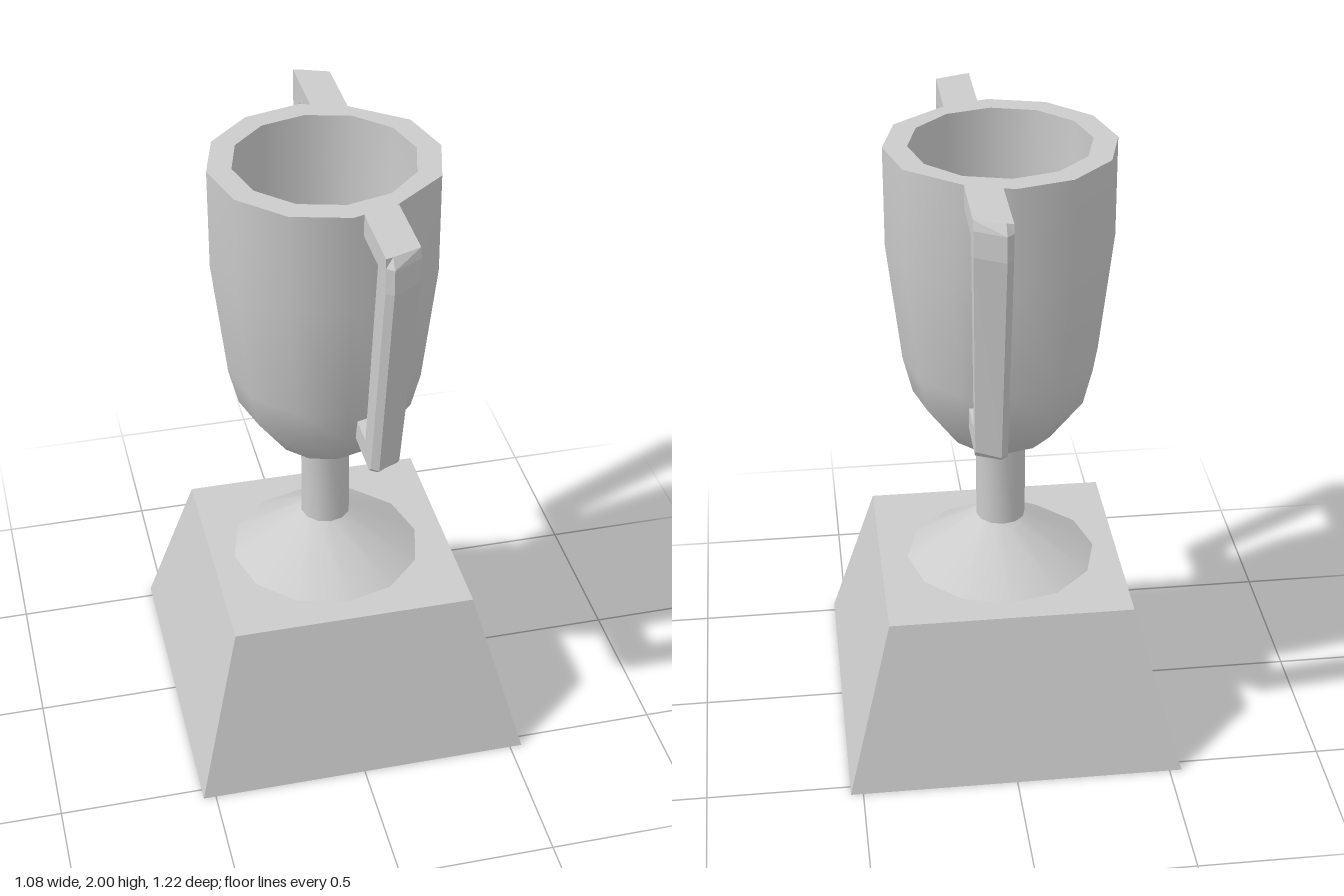
import * as THREE from 'three';
import { toCreasedNormals } from 'three/addons/utils/BufferGeometryUtils.js';

const smooth = new THREE.MeshStandardMaterial({ color: 0xcccccc });
const flat = new THREE.MeshStandardMaterial({ color: 0xcccccc, flatShading: true });

function addMesh(group, name, geometry, material) {
  const mesh = new THREE.Mesh(geometry, material);
  mesh.name = name;
  group.add(mesh);
  return mesh;
}

// Twelve-sided turned part with smooth sides and sharp rims
function turned(points) {
  return new THREE.LatheGeometry(points.map(([r, y]) => new THREE.Vector2(r, y)), 12);
}

// Handle swept from five-cornered sections: inner pair, outer right, ridge, outer left
// Each station: [inner z, inner y, outer y, right z, ridge z, left z, right x]
const stations = [
  [0.31, 1.93, 2.0, 0.31, 0.31, 0.31, 0.135],
  [0.505, 1.93, 2.0, 0.55, 0.585, 0.59, 0.135],
  [0.505, 1.93, 1.97, 0.56, 0.61, 0.592, 0.135],
  [0.50, 1.90, 1.89, 0.56, 0.61, 0.59, 0.135],
  [0.39, 1.245, 1.19, 0.435, 0.48, 0.46, 0.12],
  [0.388, 1.245, 1.17, 0.42, 0.455, 0.44, 0.12],
  [0.255, 1.245, 1.17, 0.245, 0.245, 0.245, 0.12],
];

function handleGeometry(side) {
  const positions = [];
  const index = [];
  for (const [zi, yi, yo, zr, zm, zl, xr] of stations) {
    const section = [[0.025, yi, zi], [xr, yi, zi], [xr, yo, zr], [0.046, yo, zm], [0.025, yo, zl]];
    for (const [x, y, z] of section) positions.push(x, y, z * side);
  }
  for (let i = 0; i < stations.length - 1; i++) {
    for (let j = 0; j < 5; j++) {
      const a = i * 5 + j, b = i * 5 + (j + 1) % 5;
      const c = b + 5, d = a + 5;
      if (side > 0) index.push(a, b, c, a, c, d);
      else index.push(a, c, b, a, d, c);
    }
  }
  const geometry = new THREE.BufferGeometry();
  geometry.setAttribute('position', new THREE.Float32BufferAttribute(positions, 3));
  geometry.setIndex(index);
  const faceted = geometry.toNonIndexed();
  faceted.computeVertexNormals();
  return faceted;
}

export function createModel() {
  const group = new THREE.Group();
  group.name = 'trophy';

  // Tapered square plinth
  const plinth = new THREE.CylinderGeometry(0.392 * Math.SQRT2, 0.54 * Math.SQRT2, 0.545, 4, 1);
  plinth.rotateY(Math.PI / 4);
  plinth.translate(0, 0.2725, 0);
  addMesh(group, 'plinth', plinth, flat);

  // Conical foot and thin stem
  const stem = turned([[0.31, 0.545], [0.08, 0.7], [0.08, 0.97]]);
  addMesh(group, 'footAndStem', toCreasedNormals(stem, 0.55), smooth).position.x = -0.008;

  // Hollow bowl: outside, rim, inside and floor
  const bowl = turned([
    [0.08, 0.97], [0.17, 1.02], [0.28, 1.17], [0.31, 1.29], [0.355, 1.68], [0.355, 2.0],
    [0.28, 2.0], [0.28, 1.68], [0.24, 1.29], [0.205, 1.17], [0, 1.17],
  ]);
  // Rim corners beside the handles are drawn in to meet them
  const p = bowl.attributes.position;
  for (let i = 0; i < p.count; i++) {
    if (p.getY(i) > 1.99 && Math.abs(p.getX(i) - 0.1775) < 0.01 && Math.abs(p.getZ(i)) > 0.3) p.setX(i, 0.143);
  }
  addMesh(group, 'bowl', toCreasedNormals(bowl, 0.65), smooth).position.x = -0.008;

  // Front and back handles
  addMesh(group, 'frontHandle', handleGeometry(1), flat);
  addMesh(group, 'backHandle', handleGeometry(-1), flat);

  return group;
}
